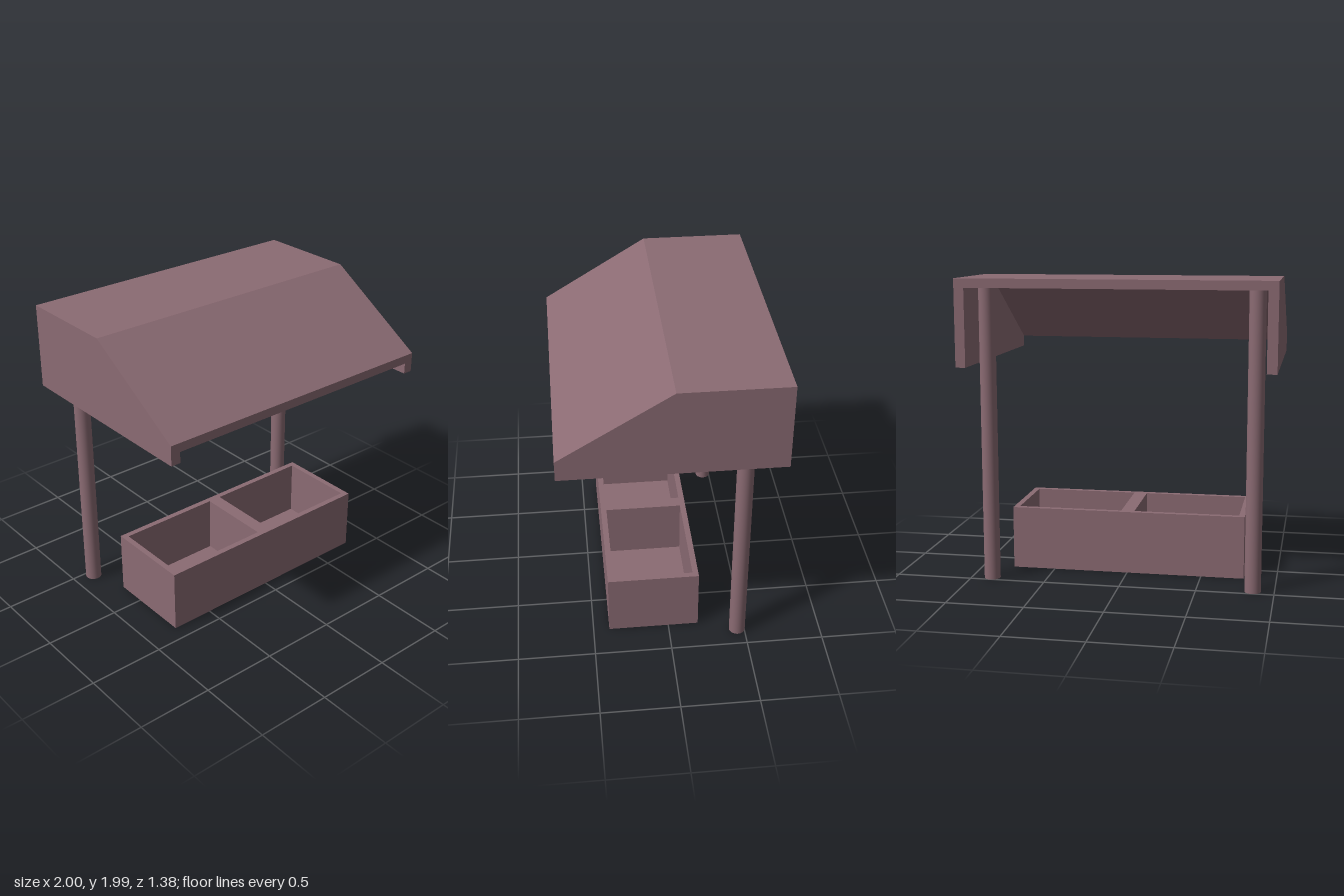
import * as THREE from 'three';

const material = new THREE.MeshStandardMaterial({ color: 0x8b6b73 });

function add(group, name, geometry, x = 0, y = 0, z = 0) {
  const mesh = new THREE.Mesh(geometry, material);
  mesh.name = name;
  mesh.position.set(x, y, z);
  group.add(mesh);
}

// Extrude a side profile of [z, y] points across x, centred on x = 0
function acrossX(points, width) {
  const shape = new THREE.Shape(points.map(([z, y]) => new THREE.Vector2(-z, y)));
  return new THREE.ExtrudeGeometry(shape, { depth: width, bevelEnabled: false })
    .translate(0, 0, -width / 2)
    .rotateY(Math.PI / 2);
}

function rectangle(PathType, x0, x1, y0, y1) {
  return new PathType([[x0, y0], [x1, y0], [x1, y1], [x0, y1]].map(([x, y]) => new THREE.Vector2(x, y)));
}

export function createModel() {
  const model = new THREE.Group();
  model.name = 'shelteredTrough';

  const slab = 0.058, cheek = 0.064;
  const front = 0.69, back = -0.69, ridge = -0.01;
  const top = 1.985, eave = 1.56, bottom = 1.43;

  // Roof: a bent slab between two cheek walls, open at the back
  const roof = new THREE.Group();
  roof.name = 'roof';
  add(roof, 'roofSlab', acrossX([
    [front, eave - slab], [front, eave], [ridge, top], [back, top],
    [back, top - slab], [ridge, top - slab],
  ], 2 - 2 * cheek));
  const cheekGeometry = acrossX([
    [front, bottom], [front, eave], [ridge, top], [back, top], [back, bottom],
  ], cheek);
  for (const side of [-1, 1]) {
    add(roof, side > 0 ? 'leftCheek' : 'rightCheek', cheekGeometry, side * (1 - cheek / 2));
  }
  model.add(roof);

  // Round posts reaching the underside of the flat roof
  const postHeight = top - slab;
  const postGeometry = new THREE.CylinderGeometry(0.053, 0.053, postHeight, 32);
  for (const side of [-1, 1]) {
    add(model, side > 0 ? 'leftPost' : 'rightPost', postGeometry, side * 0.862, postHeight / 2, -0.452);
  }

  // Trough: walls with two compartments, over a thin floor
  const trough = new THREE.Group();
  trough.name = 'trough';
  const halfX = 0.785, halfZ = 0.297, height = 0.42, wall = 0.038, divider = 0.045, floor = 0.04;
  const plan = rectangle(THREE.Shape, -halfX, halfX, -halfZ, halfZ);
  for (const [x0, x1] of [[-halfX + wall, -divider], [divider, halfX - wall]]) {
    plan.holes.push(rectangle(THREE.Path, x0, x1, -halfZ + wall, halfZ - wall));
  }
  const walls = new THREE.ExtrudeGeometry(plan, { depth: height, bevelEnabled: false }).rotateX(-Math.PI / 2);
  add(trough, 'troughWalls', walls);
  add(trough, 'troughFloor', new THREE.BoxGeometry(2 * (halfX - wall), floor, 2 * (halfZ - wall)), 0, floor / 2, 0);
  trough.position.z = 0.098;
  model.add(trough);

  return model;
}
